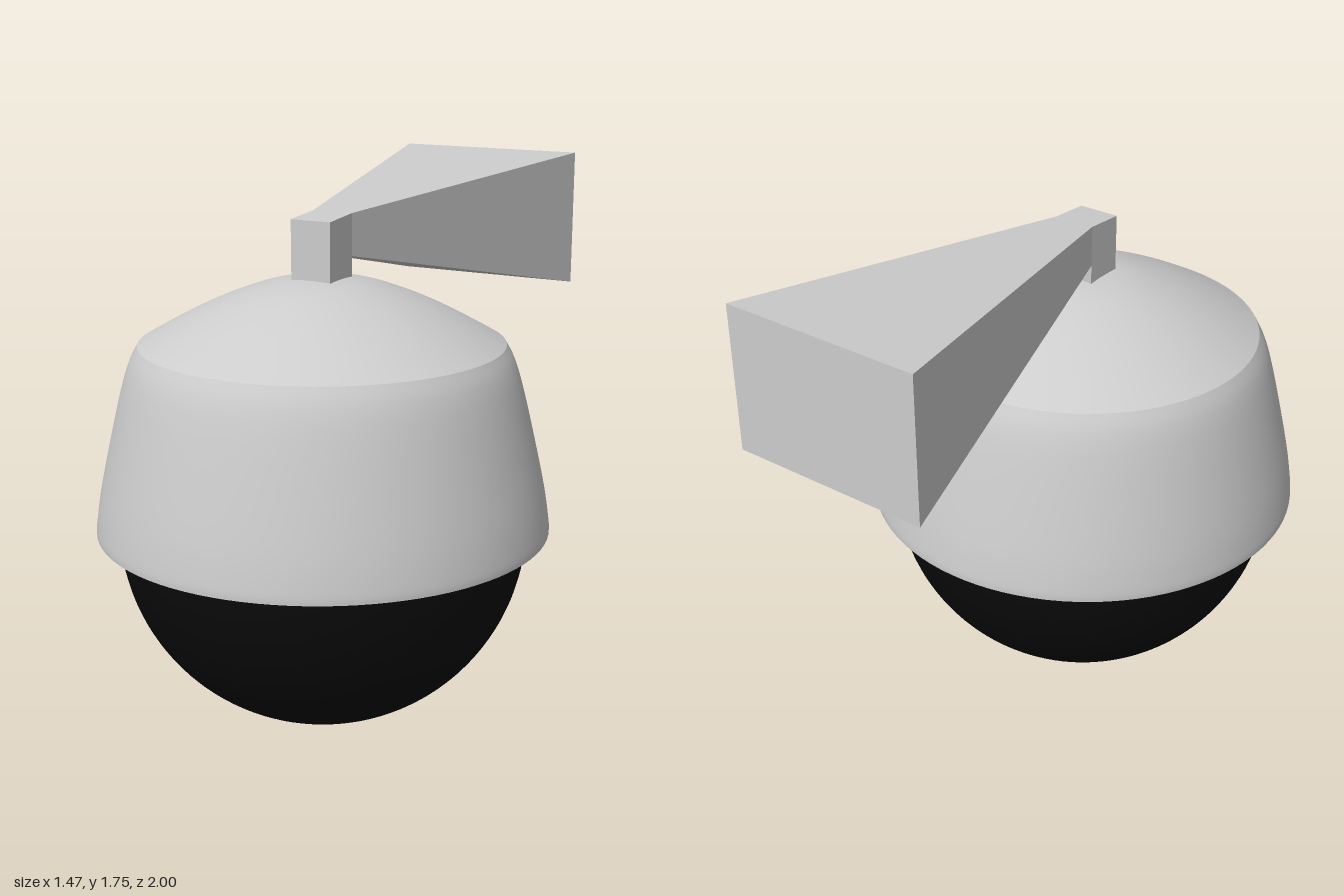
import * as THREE from 'three';

const CZ = 0.265; // z of the camera axis

export function createModel() {
  const grey = new THREE.MeshStandardMaterial({ color: 0xcccccc });
  grey.name = 'lightGrey';
  const black = new THREE.MeshStandardMaterial({ color: 0x0a0a0a });
  black.name = 'black';

  const model = new THREE.Group();
  const add = (parent, name, geometry, material, z = 0) => {
    const mesh = new THREE.Mesh(geometry, material);
    mesh.name = name;
    mesh.position.z = z;
    parent.add(mesh);
  };
  const lathe = (pts) => new THREE.LatheGeometry(pts.map(([r, y]) => new THREE.Vector2(r, y)), 96);
  const curve = (pts, n) => new THREE.SplineCurve(pts.map((p) => new THREE.Vector2(...p)))
    .getPoints(n).map((p) => [Math.max(p.x, 0), p.y]);

  // Dark lower dome
  const dome = new THREE.SphereGeometry(0.663, 96, 32, 0, Math.PI * 2, Math.PI / 2, Math.PI / 2);
  dome.translate(0, 0.663, 0);
  add(model, 'lensDome', dome, black, CZ);

  // Housing: underside lip, flared wall and domed cap
  const housing = new THREE.Group();
  housing.name = 'housing';
  model.add(housing);
  add(housing, 'lip', lathe([[0.655, 0.638], [0.735, 0.655]]), grey, CZ);
  add(housing, 'wall', lathe(curve([[0.735, 0.655], [0.733, 0.69], [0.715, 0.8], [0.675, 0.98],
    [0.638, 1.13], [0.612, 1.21], [0.585, 1.262]], 30)), grey, CZ);
  add(housing, 'cap', lathe(curve([[0.585, 1.262], [0.46, 1.332], [0.335, 1.393], [0.2, 1.444],
    [0.1, 1.465], [0, 1.471]], 24)), grey, CZ);

  // Wall bracket: neck and flared arm, each a box with reshaped ends
  // An end is [z, half width, bottom y, top y]
  const taperedBox = (front, back) => {
    const g = new THREE.BoxGeometry(1, 1, 1);
    const p = g.attributes.position;
    for (let i = 0; i < p.count; i++) {
      const [z, w, lo, hi] = p.getZ(i) > 0 ? front : back;
      p.setXYZ(i, Math.sign(p.getX(i)) * w, p.getY(i) > 0 ? hi : lo, z);
    }
    g.computeVertexNormals();
    return g;
  };
  const bracket = new THREE.Group();
  bracket.name = 'bracket';
  model.add(bracket);
  add(bracket, 'neck', taperedBox([0.335, 0.07, 1.455, 1.655], [0.195, 0.07, 1.455, 1.666]), grey);
  add(bracket, 'arm', taperedBox([0.195, 0.07, 1.53, 1.666], [-1, 0.34, 1.277, 1.755]), grey);

  return model;
}
